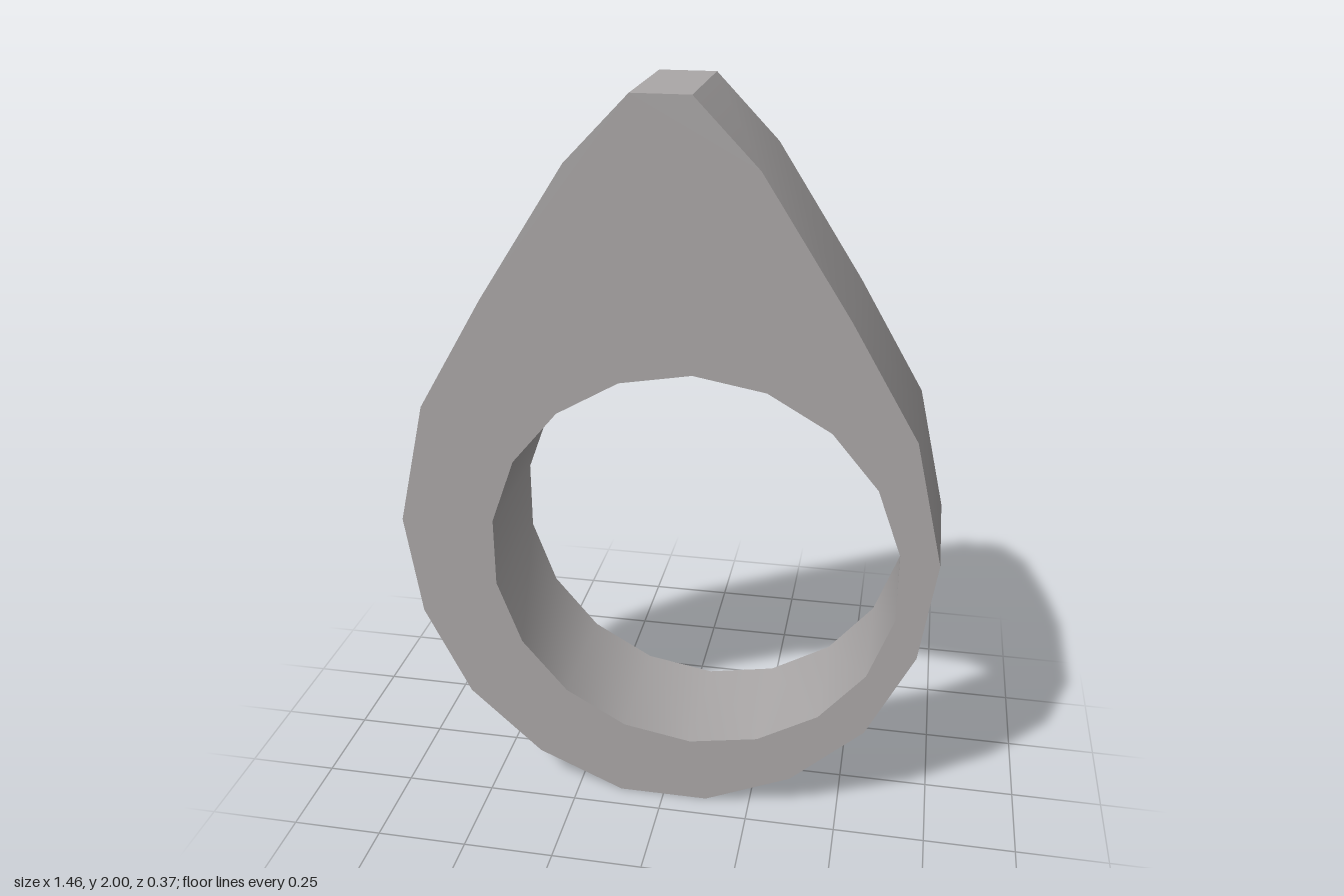
import * as THREE from 'three';
import { toCreasedNormals } from 'three/addons/utils/BufferGeometryUtils.js';

export function createModel() {
  const group = new THREE.Group();
  group.name = 'teardropRing';

  const greyMetal = new THREE.MeshStandardMaterial({ color: 0xaaa7a7 });
  greyMetal.name = 'grey metal';

  // Right half of the teardrop outline, bottom to top, then mirrored
  const half = [
    [0.125, 0], [0.365, 0.105], [0.565, 0.29], [0.69, 0.545], [0.73, 0.83],
    [0.65, 1.17], [0.47, 1.475], [0.24, 1.83], [0.075, 2],
  ].map(([x, y]) => new THREE.Vector2(x, y));
  const mirrored = half.map((p) => new THREE.Vector2(-p.x, p.y)).reverse();
  const outline = new THREE.Shape([...half, ...mirrored]);

  // Eighteen-sided finger hole, set off towards +x
  const sides = 18, radius = 0.557;
  const hole = [];
  for (let i = 0; i < sides; i++) {
    const a = (i / sides) * Math.PI * 2;
    hole.push(new THREE.Vector2(0.078 + radius * Math.sin(a), 0.752 + radius * Math.cos(a)));
  }
  outline.holes.push(new THREE.Path(hole));

  // Flat faces with rims smoothed around the curve, sharp at the tip
  const depth = 0.365;
  const geometry = new THREE.ExtrudeGeometry(outline, { depth, bevelEnabled: false });
  geometry.translate(0, 0, -depth / 2);
  const ring = new THREE.Mesh(toCreasedNormals(geometry, THREE.MathUtils.degToRad(35)), greyMetal);
  ring.name = 'ringBody';
  group.add(ring);

  return group;
}
